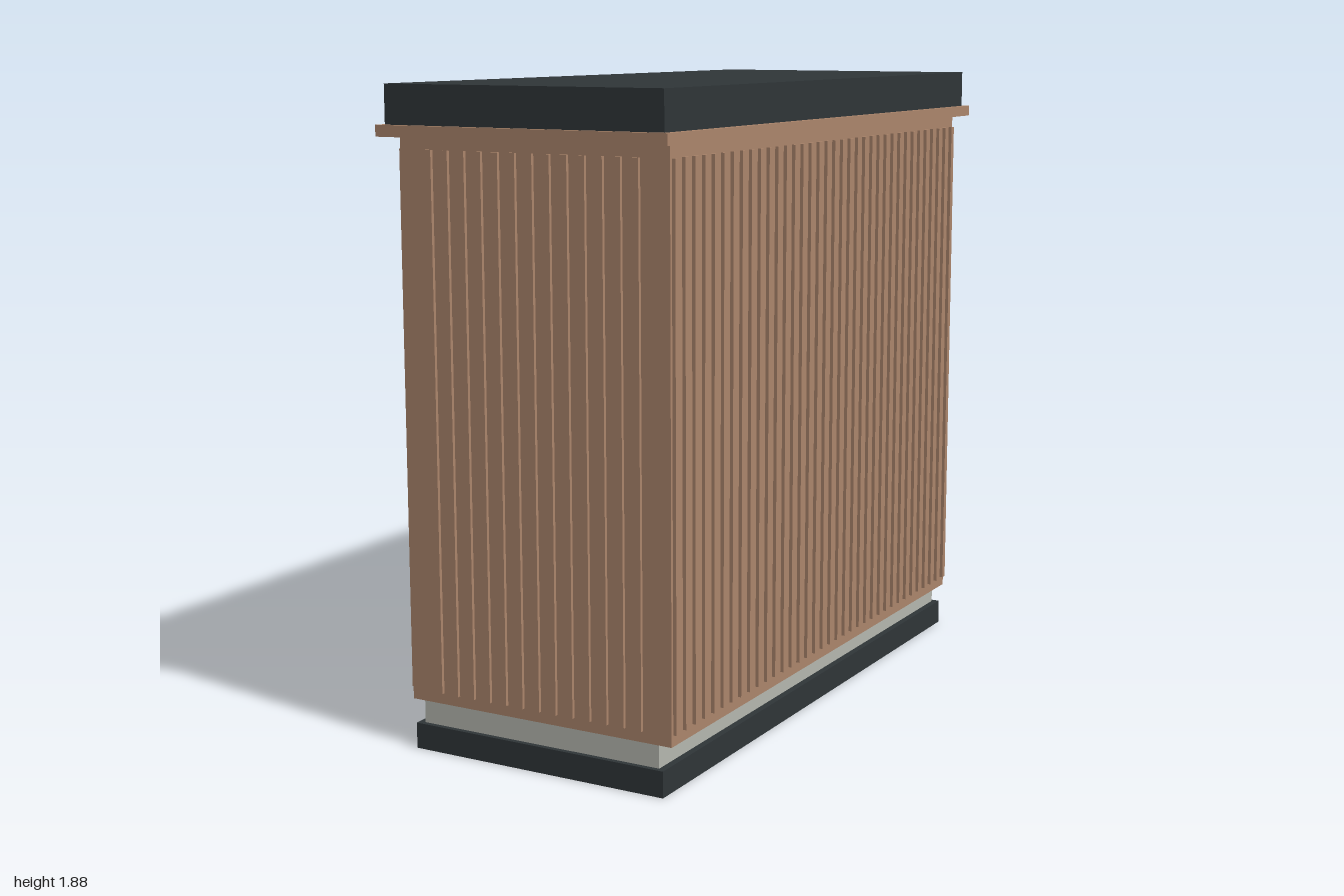
import * as THREE from 'three';

const mat = (color) => new THREE.MeshStandardMaterial({ color });

export function createModel() {
  const model = new THREE.Group();
  const dark = mat(0x2f3538);
  const wood = mat(0xab856b);
  const stone = mat(0xb5b7af);

  // Box from its half sizes in x and z and its bottom and top heights
  function slab(name, material, hx, hz, y0, y1, x = 0, z = 0, parent = model) {
    const mesh = new THREE.Mesh(new THREE.BoxGeometry(hx * 2, y1 - y0, hz * 2), material);
    mesh.name = name;
    mesh.position.set(x, (y0 + y1) / 2, z);
    parent.add(mesh);
  }

  // Stacked blocks, from the ground up
  slab('basePlinth', dark, 0.405, 0.947, 0, 0.075);
  slab('recessedBand', stone, 0.385, 0.932, 0.075, 0.14);
  slab('body', wood, 0.424, 0.933, 0.14, 1.735);
  slab('trimLedge', wood, 0.455, 1.0, 1.735, 1.767);
  slab('topSlab', dark, 0.436, 0.982, 1.767, 1.877);

  // Thin raised slats on all four faces
  const slats = new THREE.Group();
  slats.name = 'slats';
  model.add(slats);
  const spread = (i, count, end) => -end + (2 * end * i) / (count - 1);
  for (const side of [-1, 1]) {
    for (let i = 0; i < 13; i++) {
      slab('endSlat', wood, 0.01, 0.01, 0.172, 1.7, spread(i, 13, 0.326), side * 0.933, slats);
    }
    for (let i = 0; i < 36; i++) {
      slab('sideSlat', wood, 0.01, 0.01, 0.172, 1.7, side * 0.424, spread(i, 36, 0.914), slats);
    }
  }
  return model;
}
